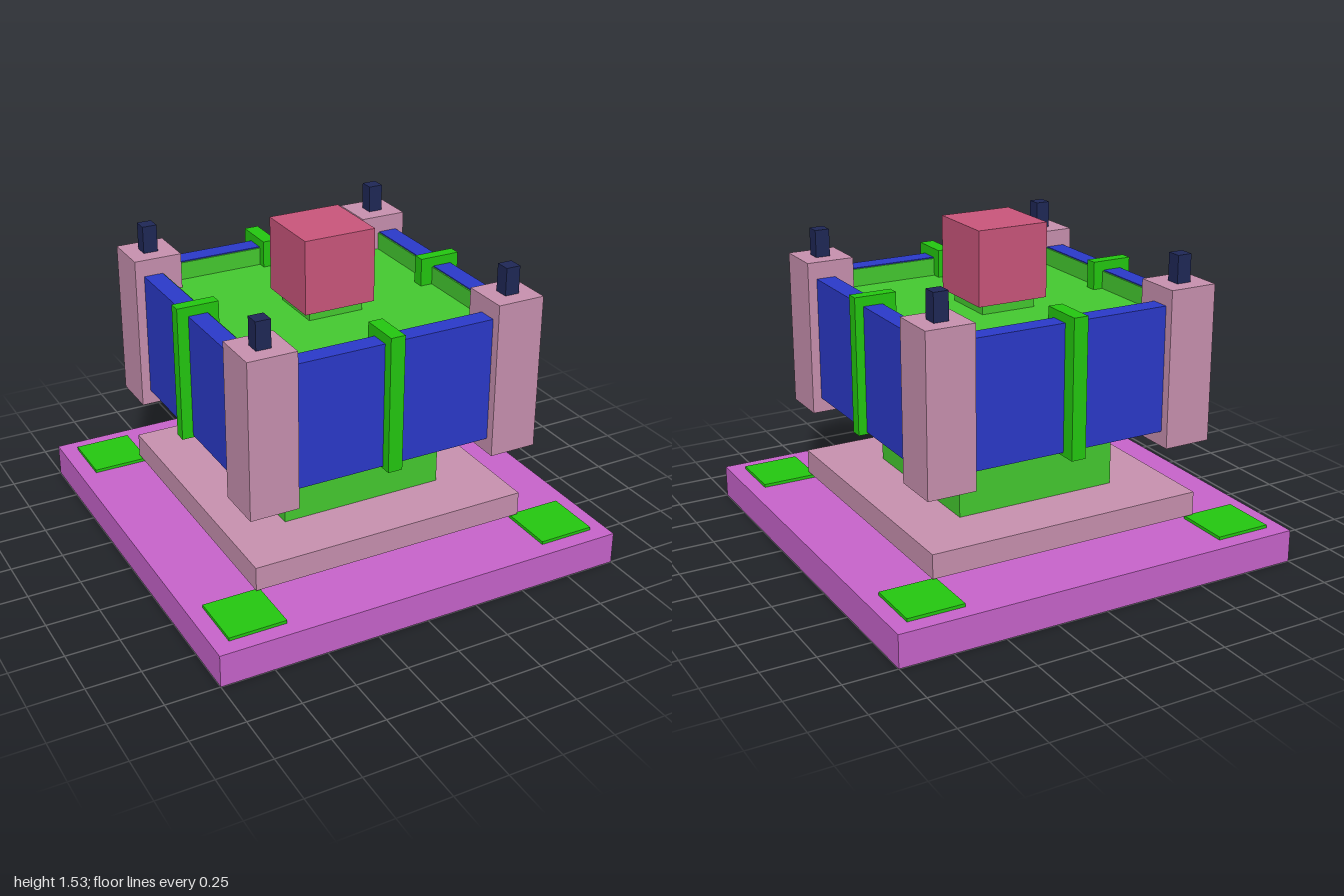
import * as THREE from 'three';

const mat = (color) => new THREE.MeshStandardMaterial({ color, flatShading: true });

export function createModel() {
  const model = new THREE.Group();
  const purple = mat(0xc864cc), pink = mat(0xc991b0), green = mat(0x45cb30), bright = mat(0x24c910);
  const blue = mat(0x2b3acb), rose = mat(0xcb567c), navy = mat(0x1f2857);

  // Box from its centre in plan, its size, and its bottom and top heights
  const block = (name, material, x, z, w, d, y0, y1) => {
    const mesh = new THREE.Mesh(new THREE.BoxGeometry(w, y1 - y0, d), material);
    mesh.position.set(x, (y0 + y1) / 2, z);
    mesh.name = name;
    model.add(mesh);
  };

  // Stepped base and neck
  block('base', purple, 0, 0, 2, 2, 0, 0.155);
  block('plinth', pink, 0, 0, 1.36, 1.36, 0.18, 0.295);
  block('neck', green, 0, 0, 0.8, 0.8, 0.295, 0.63);

  // Basin underside and raised floor
  block('basinSlab', pink, 0, 0, 1.335, 1.335, 0.627, 0.66);
  block('basinFloor', green, 0, 0, 1.165, 1.165, 0.66, 1.13);

  // Central block on its small pedestal
  block('pedestal', green, 0, 0, 0.27, 0.27, 1.13, 1.18);
  block('centreBlock', rose, 0, 0, 0.35, 0.35, 1.18, 1.53);

  // Corner pads, pillars and studs
  for (const sx of [-1, 1]) {
    for (const sz of [-1, 1]) {
      block('cornerPad', bright, sx * 0.788, sz * 0.788, 0.27, 0.27, 0.155, 0.17);
      block('pillar', pink, sx * 0.602, sz * 0.602, 0.23, 0.23, 0.56, 1.3);
      block('stud', navy, sx * 0.604, sz * 0.604, 0.07, 0.07, 1.3, 1.43);
    }
  }

  // Basin walls with a thin inner lining
  for (const s of [-1, 1]) {
    block('sideWall', blue, s * 0.628, 0, 0.092, 1.2, 0.63, 1.22);
    block('endWall', blue, 0, s * 0.628, 1.2, 0.092, 0.63, 1.22);
    block('sideLining', green, s * 0.579, 0, 0.008, 1.165, 1.12, 1.215);
    block('endLining', green, 0, s * 0.579, 1.165, 0.008, 1.12, 1.215);
  }

  // Upright clips through the middle of each wall
  block('frontClip', bright, -0.02, 0.625, 0.07, 0.195, 0.62, 1.265);
  block('backClip', bright, -0.002, -0.64, 0.07, 0.21, 0.613, 1.26);
  block('rightClip', bright, -0.627, -0.003, 0.2, 0.058, 0.62, 1.265);
  block('leftClip', bright, 0.615, -0.003, 0.2, 0.058, 0.62, 1.265);

  return model;
}
